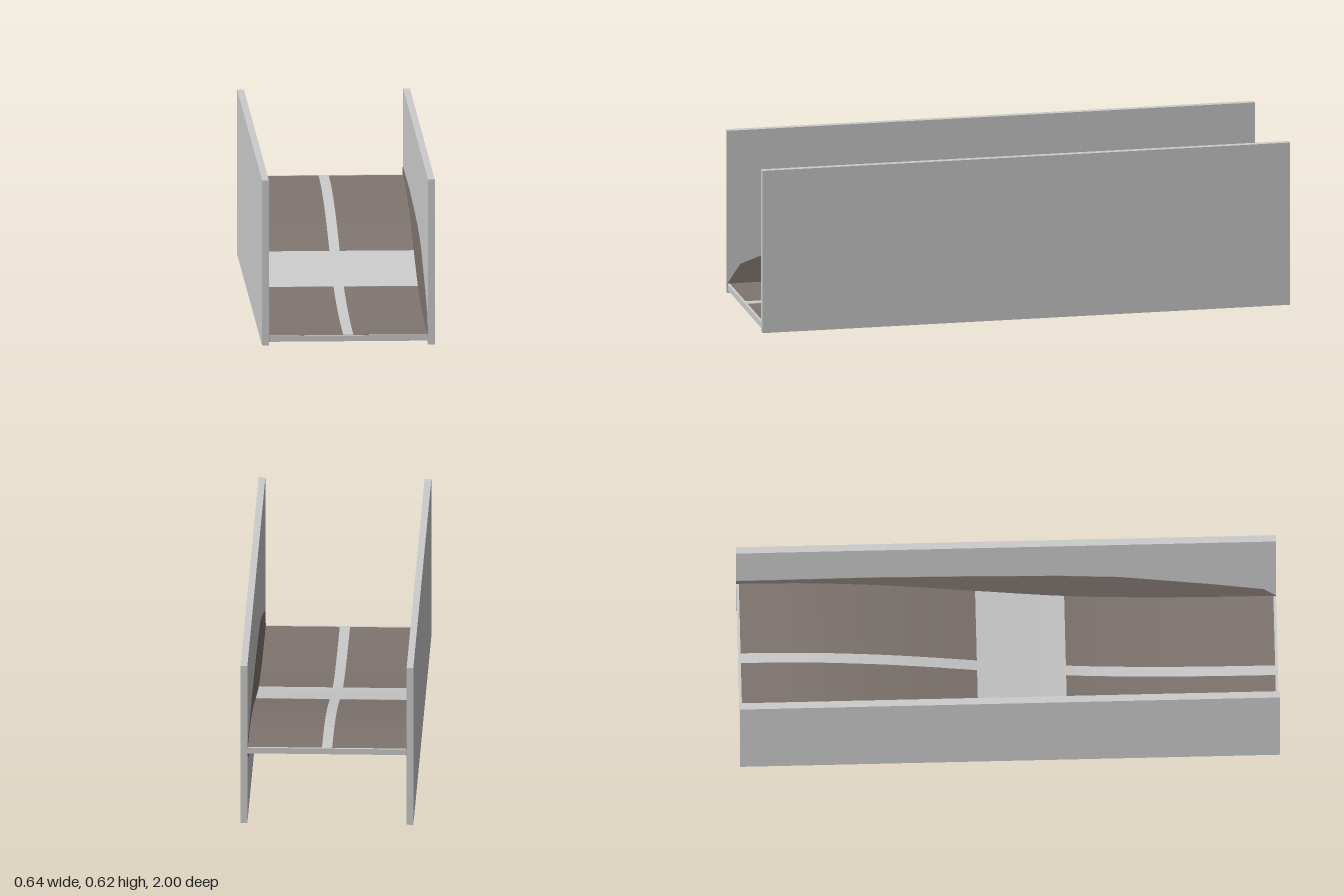
import * as THREE from 'three';

export function createModel() {
  const group = new THREE.Group();
  const grey = new THREE.MeshStandardMaterial({ color: 0xcccccc });
  const brown = new THREE.MeshStandardMaterial({ color: 0x7f7570, flatShading: true });
  const add = (name, geometry, material) => {
    const mesh = new THREE.Mesh(geometry, material);
    mesh.name = name;
    group.add(mesh);
    return mesh;
  };

  // Height of the ramp surface along z, as a smooth S-curve
  const curve = new THREE.SplineCurve([
    [1, 0.036], [0.75, 0.04], [0.5, 0.052], [0.215, 0.085], [-0.11, 0.161],
    [-0.3, 0.21], [-0.5, 0.253], [-0.75, 0.287], [-1, 0.297],
  ].map(([z, y]) => new THREE.Vector2(z, y)));
  const samples = curve.getPoints(64);
  const heightAt = (z) => {
    const i = Math.max(1, samples.findIndex((p) => p.x <= z + 1e-6));
    const a = samples[i - 1], b = samples[i];
    return a.y + (b.y - a.y) * (z - a.x) / (b.x - a.x);
  };

  // Extrude a (z, y) outline across x, centred on cx
  const acrossX = (points, width, cx = 0) =>
    new THREE.ExtrudeGeometry(new THREE.Shape(points), { depth: width, bevelEnabled: false })
      .rotateY(-Math.PI / 2).translate(cx + width / 2, 0, 0);

  // Slab that follows the ramp between two z positions
  const rampSlab = (z0, z1, top, bottom, width) => {
    const n = Math.ceil(Math.abs(z1 - z0) * 16);
    const upper = [], lower = [];
    for (let i = 0; i <= n; i++) {
      const z = z0 + (z1 - z0) * i / n;
      upper.push(new THREE.Vector2(z, heightAt(z) + top));
      lower.unshift(new THREE.Vector2(z, heightAt(z) + bottom));
    }
    return acrossX([...upper, ...lower], width);
  };

  // Curved floor, with a grey underlay at the low end
  add('rampFloor', rampSlab(-0.99, 0.99, 0, -0.02, 0.592), brown);
  add('lowEndUnderlay', rampSlab(0.46, 0.99, -0.012, -0.022, 0.592), grey);

  // Pale stripes along the middle and across the ramp
  add('centreStripe', rampSlab(-0.99, 0.99, 0.001, -0.004, 0.038), grey);
  add('crossStripe', rampSlab(-0.115, 0.215, 0.001, -0.004, 0.591), grey);

  // Lips closing both ends of the floor
  for (const [name, z, y] of [['frontLip', 0.995, 0.025], ['backLip', -0.995, 0.286]]) {
    add(name, new THREE.BoxGeometry(0.592, 0.022, 0.01).translate(0, y, z), grey);
  }

  // Side walls, each with a dark curved skirt on the inner face
  const skirt = [
    [1, 0.036], [0.95, 0.11], [0.77, 0.172], [0.42, 0.275], [0.2, 0.302], [-0.1, 0.318],
    [-0.5, 0.33], [-1, 0.325], [-1, 0.275], [-0.92, 0.228], [-0.43, 0.155],
    [-0.06, 0.114], [0.2, 0.066], [0.46, 0.03], [1, 0.014],
  ].map(([z, y]) => new THREE.Vector2(z, y));
  for (const [side, s] of [['left', 1], ['right', -1]]) {
    add(side + 'Wall', new THREE.BoxGeometry(0.025, 0.62, 2).translate(s * 0.3075, 0.31, 0), grey);
    add(side + 'Skirt', acrossX(skirt, 0.002, s * 0.2945), brown);
  }

  return group;
}
